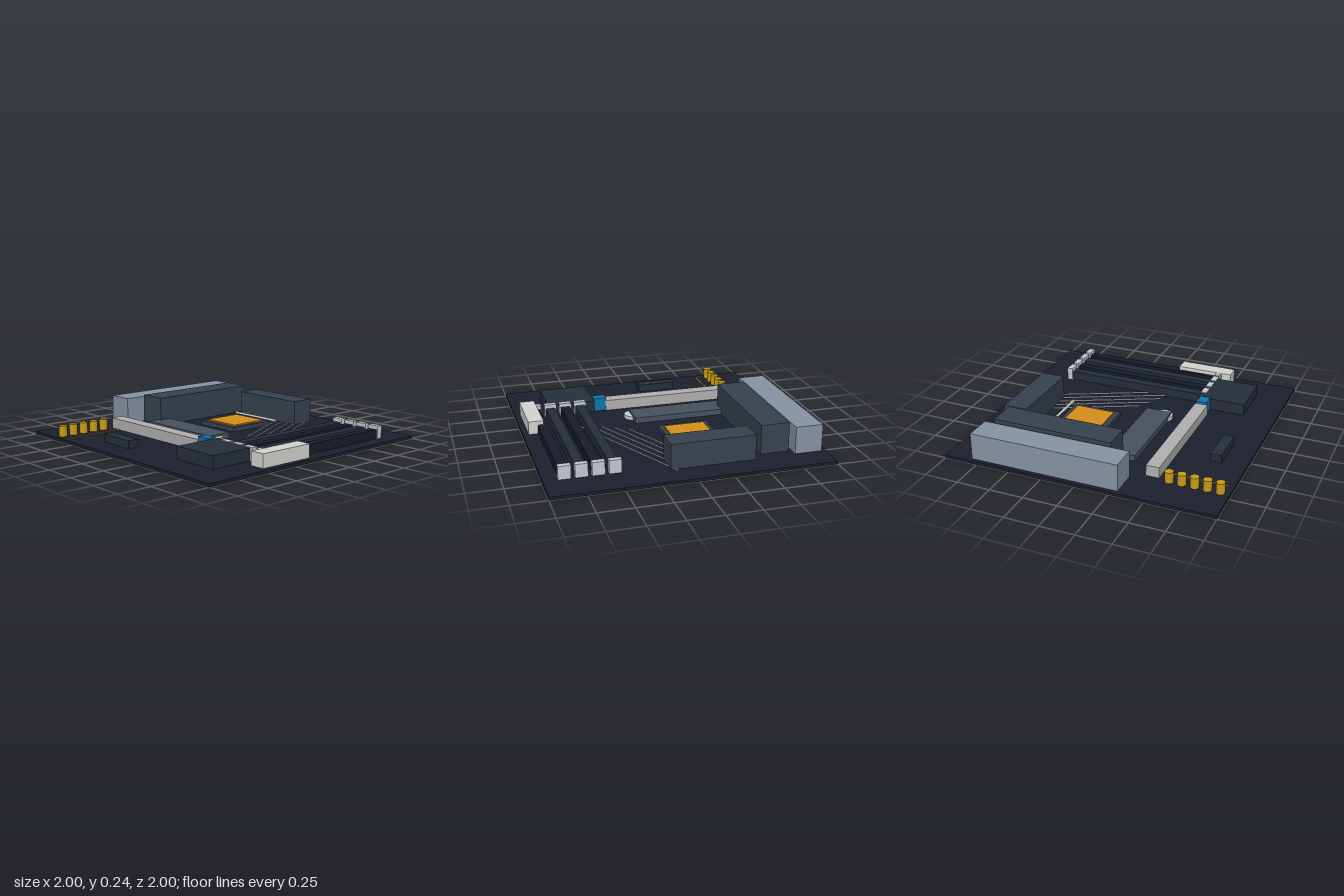
import * as THREE from 'three';

const BOARD = 0.022;

export function createModel() {
  const root = new THREE.Group();
  root.name = 'circuitBoard';
  const mats = {};
  const mat = (color) => (mats[color] ??= new THREE.MeshStandardMaterial({ color }));

  function add(name, geometry, color, x, y, z) {
    const mesh = new THREE.Mesh(geometry, mat(color));
    mesh.name = name;
    mesh.position.set(x, y, z);
    root.add(mesh);
    return mesh;
  }
  // Box given by its extents on each axis
  function block(name, color, x0, x1, z0, z1, top, bottom = BOARD) {
    return add(name, new THREE.BoxGeometry(x1 - x0, top - bottom, z1 - z0), color,
      (x0 + x1) / 2, (top + bottom) / 2, (z0 + z1) / 2);
  }

  block('board', 0x1c202d, -1, 1, -1, 1, BOARD, 0);

  // Rear ports and heatsinks
  block('portShroud', 0x8793a5, -0.97, -0.77, -0.8, 0.305, 0.22);
  block('sideHeatsink', 0x37424f, -0.745, -0.535, -0.74, 0.16, 0.237);
  block('backHeatsink', 0x37424f, -0.47, 0.14, -0.815, -0.635, 0.205);
  block('driveHeatsink', 0x475260, -0.565, 0.15, 0.065, 0.26, 0.065);

  // Processor socket with lid and lever
  block('socket', 0x37424f, -0.35, 0.02, -0.475, -0.1, 0.055);
  block('processorLid', 0xd68f18, -0.315, -0.015, -0.44, -0.14, 0.064);
  const lever = add('socketLever', new THREE.CylinderGeometry(0.01, 0.01, 0.455, 12), 0xd0d2cc,
    -0.168, 0.058, -0.511);
  lever.rotation.z = Math.PI / 2;

  // Memory slots with a latch at each end
  for (let i = 0; i < 4; i++) {
    const x = 0.508 + i * 0.115;
    block('memorySlot', i % 2 ? 0x171c2a : 0x262e3b, x - 0.035, x + 0.035, -0.72, 0.385, 0.09);
    for (const z of [-0.742, 0.408])
      block('memoryLatch', 0xc6cad2, x - 0.044, x + 0.044, z - 0.022, z + 0.022, 0.118);
  }

  // Slanted traces, each longer than the last
  for (let i = 0; i < 5; i++) {
    const halfZ = 0.297 + i * 0.0535;
    const angle = Math.atan(0.484);
    const trace = add('trace', new THREE.BoxGeometry(0.008, 0.005, 2 * halfZ / Math.cos(angle)),
      0xd2d4da, 0.083 + i * 0.065, BOARD + 0.0025, -0.332);
    trace.rotation.y = angle;
  }

  // Battery, expansion slot, chipset and connectors
  add('battery', new THREE.CylinderGeometry(0.075, 0.075, 0.028, 32), 0xd0d2d4, 0.125, BOARD + 0.014, 0.203);
  block('expansionSlot', 0xb2b0b1, -0.71, 0.3, 0.4, 0.497, 0.102);
  block('expansionLatch', 0x1078b2, 0.295, 0.39, 0.41, 0.487, 0.122);
  block('chipset', 0x262f3b, 0.39, 0.755, 0.39, 0.755, 0.112);
  block('frontHeader', 0x262f3b, -0.355, -0.06, 0.74, 0.82, 0.08);
  block('powerConnector', 0xd5d6d0, 0.845, 0.957, 0.07, 0.505, 0.12);

  // Audio capacitors and their dividing line
  for (let i = 0; i < 5; i++)
    add('capacitor', new THREE.CylinderGeometry(0.031, 0.031, 0.08, 20), 0xc99c16,
      -0.722, BOARD + 0.04, 0.573 + i * 0.09);
  block('audioLine', 0xc98518, -0.631, -0.619, 0.495, 0.96, BOARD + 0.005);

  return root;
}
